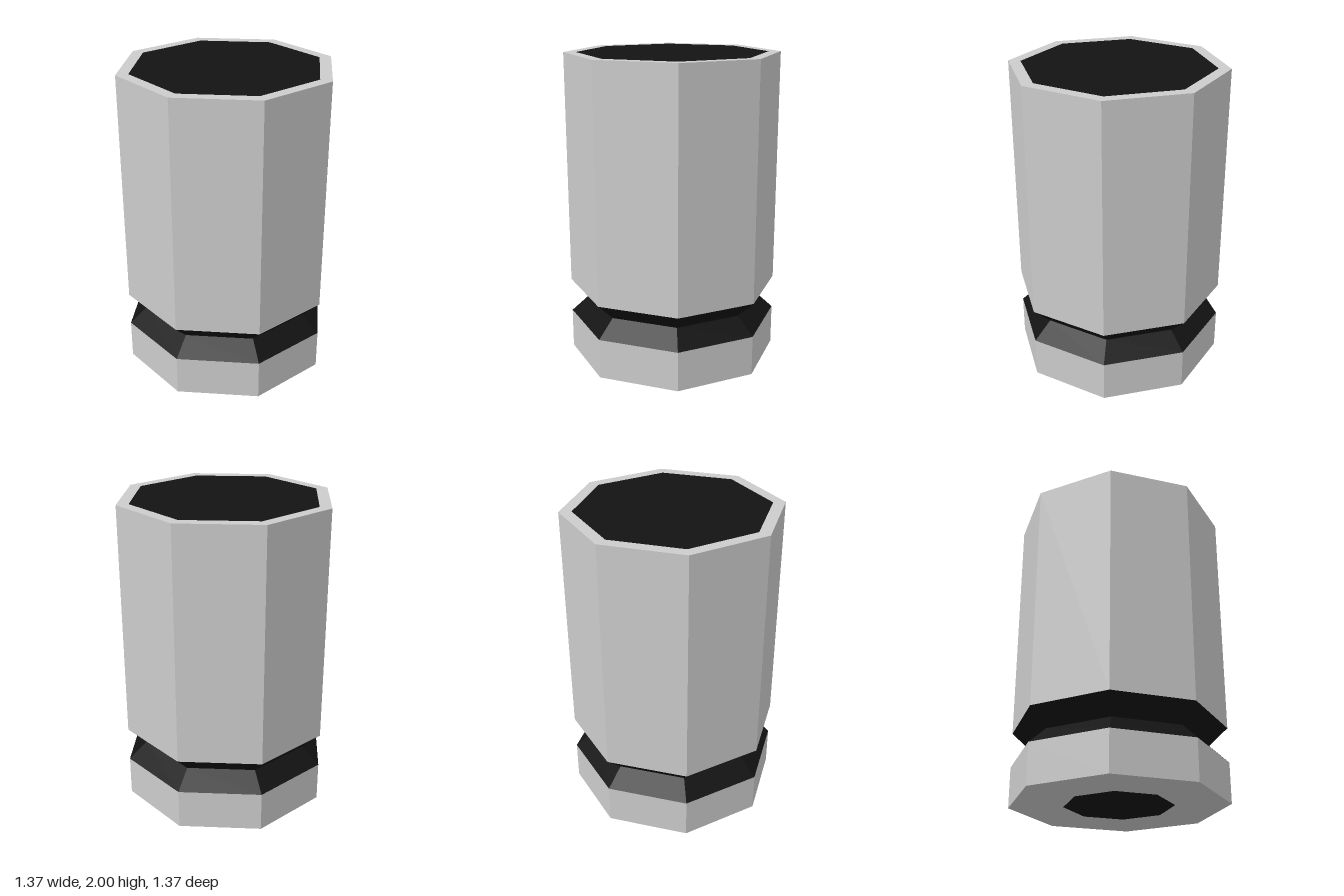
import * as THREE from 'three';

const SIDES = 8;
const R = 0.685;          // outer radius
const RIM = 0.607;        // inner edge of the top rim
const PORT = 0.343;       // inner edge of the base ring
const GROOVE = 0.565;     // radius at the bottom of the V groove
const Y_LOW = 0.26, Y_MID = 0.37, Y_HIGH = 0.485, TOP = 2;

export function createModel() {
  const group = new THREE.Group();
  const grey = new THREE.MeshStandardMaterial({ color: 0xcccccc, flatShading: true });
  const black = new THREE.MeshStandardMaterial({ color: 0x131313, flatShading: true });

  // Eight-sided band swept from a profile of [radius, height], listed bottom to top
  const band = (name, profile, material) => {
    const points = profile.map(([r, y]) => new THREE.Vector2(r, y));
    const mesh = new THREE.Mesh(new THREE.LatheGeometry(points, SIDES), material);
    mesh.name = name;
    group.add(mesh);
  };

  // Flat octagonal face, corners on the axes
  const face = (name, radius, y, tilt) => {
    const mesh = new THREE.Mesh(new THREE.CircleGeometry(radius, SIDES), black);
    mesh.name = name;
    mesh.rotation.x = tilt;
    mesh.position.y = y;
    group.add(mesh);
  };

  // Base collar with its underside ring
  band('baseCollar', [[PORT, 0], [R, 0], [R, Y_LOW]], grey);
  face('basePort', PORT, 0, Math.PI / 2);

  // Dark V groove between collar and body
  band('groove', [[R, Y_LOW], [GROOVE, Y_MID], [R, Y_HIGH]], black);

  // Tall body with its top rim
  band('body', [[R, Y_HIGH], [R, TOP], [RIM, TOP]], grey);
  face('topFace', RIM, TOP, -Math.PI / 2);

  return group;
}
